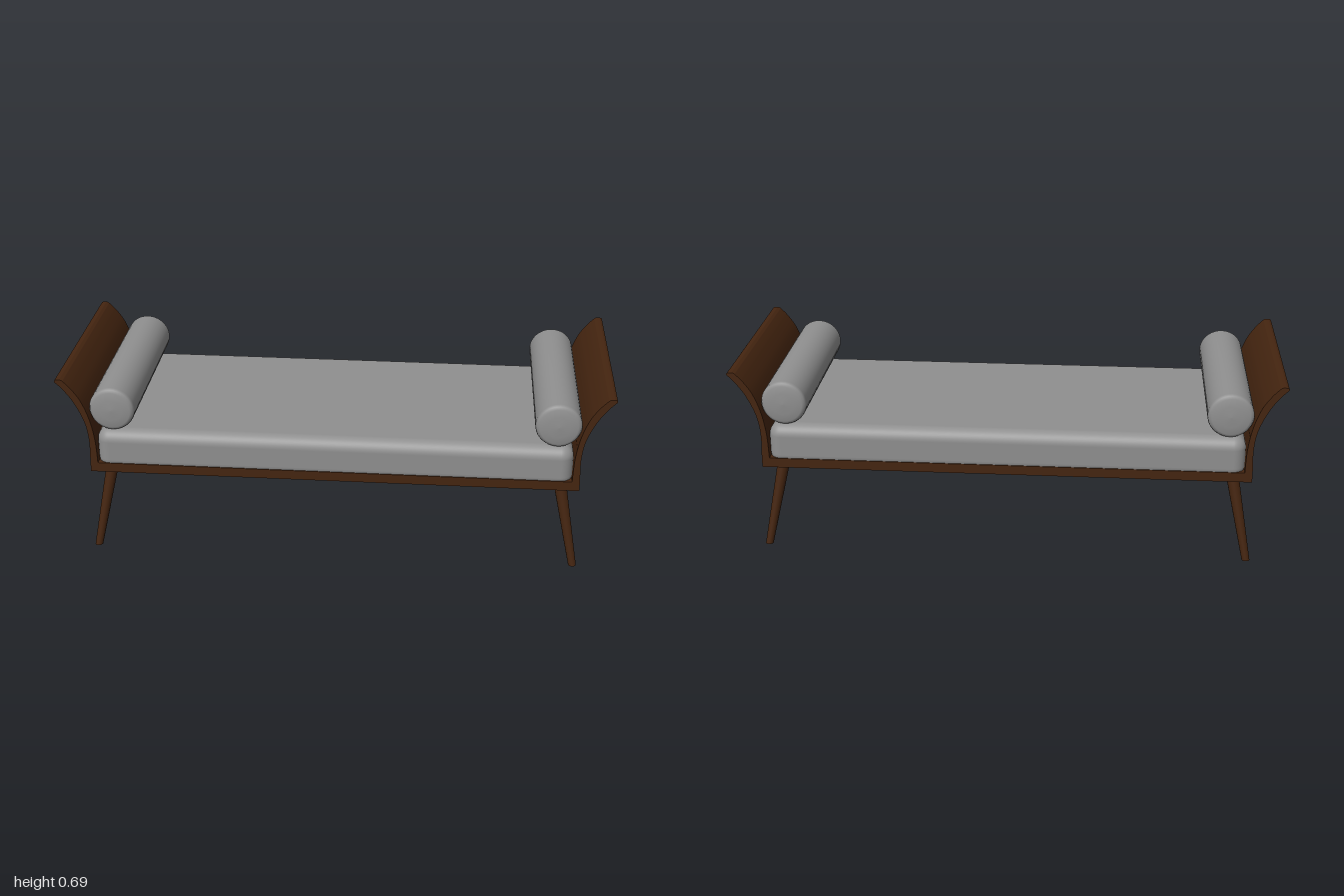
import * as THREE from 'three';
import { toCreasedNormals } from 'three/addons/utils/BufferGeometryUtils.js';
import { RoundedBoxGeometry } from 'three/addons/geometries/RoundedBoxGeometry.js';

const DEPTH = 0.745;

export function createModel() {
  const model = new THREE.Group();
  model.name = 'daybed';
  const wood = new THREE.MeshStandardMaterial({ color: 0x452510 });
  wood.name = 'dark wood';
  const fabric = new THREE.MeshStandardMaterial({ color: 0x909090 });
  fabric.name = 'grey fabric';

  const add = (name, geometry, material, x = 0, y = 0, z = 0) => {
    const mesh = new THREE.Mesh(geometry, material);
    mesh.name = name;
    mesh.position.set(x, y, z);
    model.add(mesh);
    return mesh;
  };
  const points = (list) => list.map(([x, y]) => new THREE.Vector2(x, y));

  // Flat base and mattress with softly rounded edges
  add('base', new THREE.BoxGeometry(1.74, 0.036, DEPTH), wood, 0, 0.34, 0);
  add('mattress', new RoundedBoxGeometry(1.732, 0.16, 0.742, 6, 0.045), fabric, 0, 0.406, 0);

  // Curved end panel: vertical at the base, sweeping outwards to a rounded tip
  const outer = points([[0.892, 0.36], [0.89, 0.45], [0.902, 0.525], [0.935, 0.6], [0.97, 0.65], [0.998, 0.679]]);
  const inner = points([[0.972, 0.687], [0.943, 0.657], [0.91, 0.608], [0.883, 0.535], [0.868, 0.45], [0.864, 0.36]]);
  const panel = new THREE.Shape();
  panel.moveTo(0.864, 0.322);
  panel.lineTo(0.892, 0.322);
  panel.lineTo(outer[0].x, outer[0].y);
  panel.splineThru(outer.slice(1));
  panel.quadraticCurveTo(1.002, 0.685, 0.995, 0.688);
  panel.quadraticCurveTo(0.98, 0.691, inner[0].x, inner[0].y);
  panel.splineThru(inner.slice(1));
  panel.closePath();
  const panelGeometry = toCreasedNormals(
    new THREE.ExtrudeGeometry(panel, { depth: DEPTH, bevelEnabled: false, curveSegments: 8 }), 0.7);
  panelGeometry.translate(0, 0, -DEPTH / 2);

  // Bolster: a cylinder with softened rims and slightly domed ends
  const half = points([[0, 0.358], [0.04, 0.356], [0.068, 0.352], [0.078, 0.347], [0.083, 0.336]]);
  const profile = [
    ...half.map((p) => new THREE.Vector2(p.x, -p.y)),
    ...half.slice().reverse(),
  ];
  const bolsterGeometry = new THREE.LatheGeometry(profile, 40);
  bolsterGeometry.rotateX(Math.PI / 2);

  // Tapered round leg, sheared so both ends stay level as it splays outwards
  const legGeometry = new THREE.CylinderGeometry(0.0235, 0.0145, 0.325, 24);
  legGeometry.translate(0, 0.1625, 0);
  const shear = new THREE.Matrix4().set(
    1, -0.065 / 0.325, 0, 0.89,
    0, 1, 0, 0,
    0, -0.048 / 0.325, 1, 0.355,
    0, 0, 0, 1);
  legGeometry.applyMatrix4(shear);

  for (const side of [1, -1]) {
    const label = side > 0 ? 'left' : 'right';
    add(`${label}EndPanel`, panelGeometry, wood).rotation.y = side > 0 ? 0 : Math.PI;
    add(`${label}Bolster`, bolsterGeometry, fabric, side * 0.805, 0.565, 0);
    for (const end of [1, -1]) {
      const leg = add(`${label}${end > 0 ? 'Front' : 'Back'}Leg`, legGeometry, wood);
      leg.scale.set(side, 1, end);
    }
  }
  return model;
}
